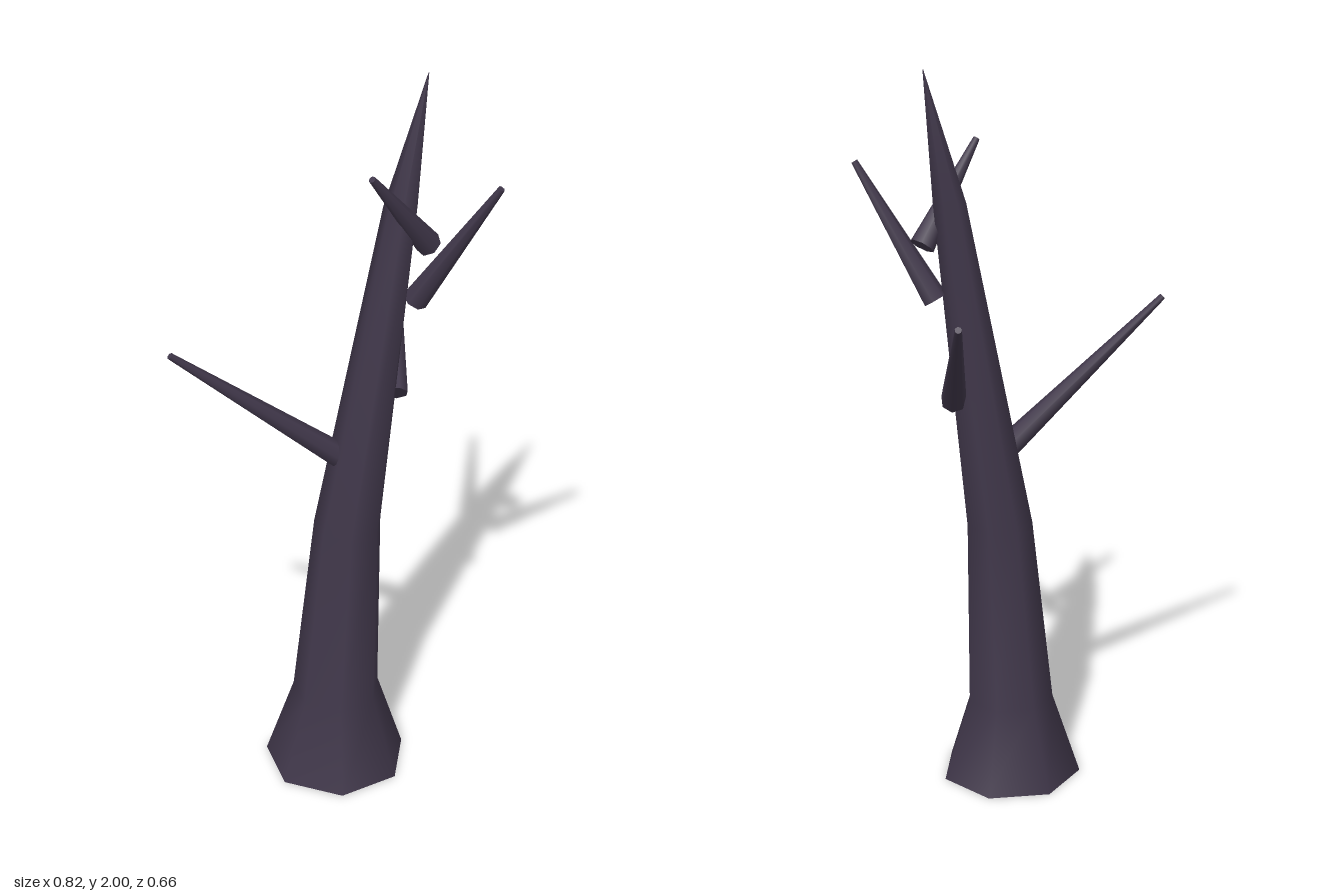
import * as THREE from 'three';

const SIDES = 7;
const bark = new THREE.MeshStandardMaterial({ color: 0x40374a });
bark.name = 'dark bark';

// Trunk skin: rings of [centre x, y, radius], smooth from root flare to tip
function trunkGeometry(rings, z) {
  const positions = [];
  const index = [];
  for (const [x, y, r] of rings) {
    for (let i = 0; i < SIDES; i++) {
      const a = (i / SIDES) * Math.PI * 2;
      positions.push(x + r * Math.cos(a), y, z + r * Math.sin(a));
    }
  }
  for (let k = 0; k < rings.length - 1; k++) {
    for (let i = 0; i < SIDES; i++) {
      const j = (i + 1) % SIDES;
      const a = k * SIDES + i, b = k * SIDES + j;
      index.push(a, a + SIDES, b, b, a + SIDES, b + SIDES);
    }
  }
  const geometry = new THREE.BufferGeometry();
  geometry.setAttribute('position', new THREE.Float32BufferAttribute(positions, 3));
  geometry.setIndex(index);
  geometry.computeVertexNormals();
  return geometry;
}

// Tapered branch from its base to its tip
function branch(name, base, tip, baseRadius, tipRadius) {
  const from = new THREE.Vector3(...base);
  const to = new THREE.Vector3(...tip);
  const dir = to.clone().sub(from);
  const mesh = new THREE.Mesh(
    new THREE.CylinderGeometry(tipRadius, baseRadius, dir.length(), SIDES), bark);
  mesh.name = name;
  mesh.position.copy(from).add(to).multiplyScalar(0.5);
  mesh.quaternion.setFromUnitVectors(new THREE.Vector3(0, 1, 0), dir.normalize());
  return mesh;
}

export function createModel() {
  const tree = new THREE.Group();
  tree.name = 'bareTree';

  // Leaning trunk with a flared foot and pointed top
  const trunk = new THREE.Mesh(trunkGeometry([
    [0.036, 0, 0.193],
    [0.037, 0.23, 0.118],
    [0.066, 0.75, 0.09],
    [0.197, 1.65, 0.044],
    [0.262, 2, 0.001],
  ], 0.14), bark);
  trunk.name = 'trunk';
  tree.add(trunk);

  // Underside of the foot
  const foot = new THREE.Mesh(new THREE.CircleGeometry(0.193, SIDES), bark);
  foot.name = 'trunkUnderside';
  foot.rotation.x = Math.PI / 2;
  foot.position.set(0.036, 0, 0.14);
  tree.add(foot);

  // Four bare branches
  tree.add(
    branch('lowerRightBranch', [0.035, 0.965, 0.14], [-0.405, 1.33, 0.14], 0.034, 0.009),
    branch('backBranch', [0.195, 1.115, 0.13], [0.34, 1.465, -0.325], 0.034, 0.009),
    branch('upperLeftBranch', [0.235, 1.39, 0.15], [0.4, 1.74, 0.295], 0.034, 0.009),
    branch('upperRightBranch', [0.27, 1.54, 0.147], [0.085, 1.785, 0.24], 0.034, 0.009),
  );
  return tree;
}
